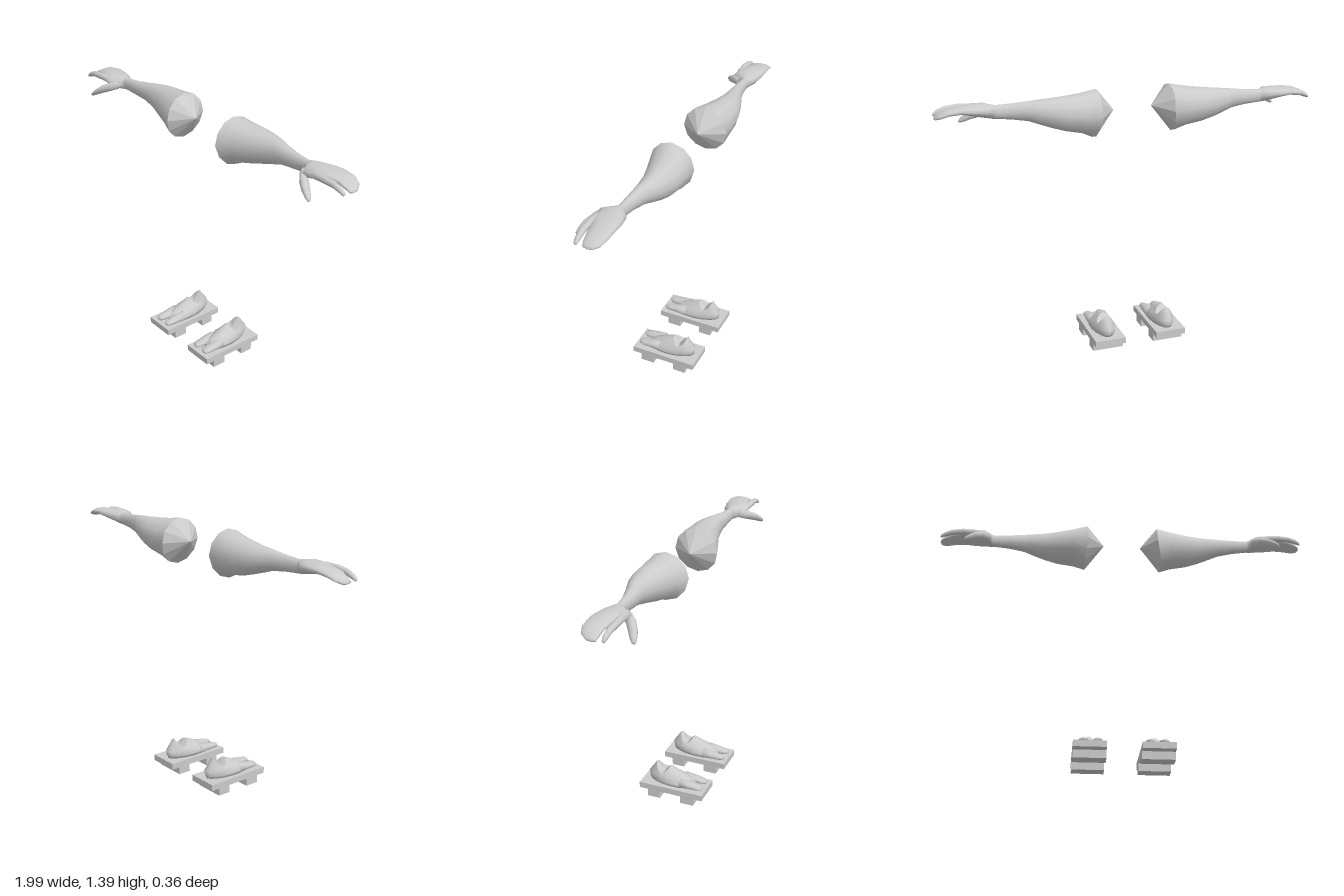
import * as THREE from 'three';

const material = new THREE.MeshStandardMaterial({ color: 0xcccccc, side: THREE.DoubleSide });
const facetMaterial = new THREE.MeshStandardMaterial({ color: 0xcccccc, side: THREE.DoubleSide, flatShading: true });

// Skin a list of equal-length rings; start and end are optional cap centres
function loft(rings, start, end) {
  const n = rings[0].length;
  const points = rings.flat();
  const index = [];
  for (let i = 0; i < rings.length - 1; i++) {
    for (let j = 0; j < n; j++) {
      const a = i * n + j, b = i * n + (j + 1) % n;
      index.push(a, b, a + n, b, b + n, a + n);
    }
  }
  const cap = (centre, base, flip) => {
    const c = points.push(centre) - 1;
    for (let j = 0; j < n; j++) {
      const a = base + j, b = base + (j + 1) % n;
      if (flip) index.push(c, b, a);
      else index.push(c, a, b);
    }
  };
  if (start) cap(start, 0, true);
  if (end) cap(end, (rings.length - 1) * n, false);
  const g = new THREE.BufferGeometry();
  g.setAttribute('position', new THREE.Float32BufferAttribute(points.flat(), 3));
  g.setIndex(index);
  return g;
}

const around = (n, f) => Array.from({ length: n }, (_, j) => f((j / n) * Math.PI * 2));

// Ellipse across the arm: x, centre y, radius y, centre z, radius z
const armRing = ([x, y, ry, z, rz], n = 12) =>
  around(n, a => [x, y + ry * Math.cos(a), z + rz * Math.sin(a)]);

// Ellipse across a toe: z, centre x, radius x, centre y, radius y
const toeRing = ([z, x, rx, y, ry]) =>
  around(10, a => [x + rx * Math.cos(a), y + ry * Math.sin(a), z]);

// Add a part, reflecting its geometry for the right side
function addPart(group, name, geometry, side, mat = material) {
  if (side < 0) {
    geometry.scale(-1, 1, 1);
    const ix = geometry.index.array;
    for (let i = 0; i < ix.length; i += 3) [ix[i], ix[i + 1]] = [ix[i + 1], ix[i]];
  }
  geometry.computeVertexNormals();
  const mesh = new THREE.Mesh(geometry, mat);
  mesh.name = name;
  group.add(mesh);
}

function buildArm(side) {
  const arm = new THREE.Group();

  // Wide upper arm narrowing to the wrist, then the mitten of joined fingers
  const rings = [
    [0.19, 1.27, 0.122, -0.035, 0.117],
    [0.27, 1.278, 0.103, -0.047, 0.103],
    [0.36, 1.286, 0.089, -0.06, 0.085],
    [0.43, 1.295, 0.075, -0.063, 0.067],
    [0.5, 1.305, 0.06, -0.056, 0.049],
    [0.54, 1.31, 0.05, -0.05, 0.04],
    [0.62, 1.313, 0.04, -0.04, 0.028],
    [0.7, 1.316, 0.034, -0.036, 0.021],
    [0.715, 1.318, 0.035, -0.034, 0.033],
    [0.75, 1.325, 0.035, -0.021, 0.068],
    [0.82, 1.335, 0.026, -0.029, 0.074],
    [0.87, 1.34, 0.018, -0.046, 0.059],
    [0.93, 1.335, 0.017, -0.048, 0.054],
    [0.97, 1.32, 0.014, -0.044, 0.044],
    [0.99, 1.309, 0.009, -0.033, 0.027],
  ].map(r => armRing(r));
  // Slanted shoulder edge, lower side further out
  rings[0].forEach(p => { p[0] += Math.max(0, 1.27 - p[1]) * 0.2; });
  addPart(arm, 'armAndHand', loft(rings, null, [0.997, 1.305, -0.03]), side);

  // Faceted pointed cap on the shoulder end
  const edge = rings[0].map(p => [...p]).reverse();
  addPart(arm, 'shoulderCap', loft([edge], null, [0.1, 1.28, -0.035]), side, facetMaterial);

  // Separate index finger
  const finger = [
    [0.8, 1.335, 0.019, 0.022, 0.022],
    [0.87, 1.338, 0.017, 0.03, 0.017],
    [0.93, 1.335, 0.015, 0.029, 0.015],
    [0.97, 1.322, 0.013, 0.028, 0.013],
    [0.988, 1.312, 0.009, 0.028, 0.009],
  ].map(r => armRing(r, 10));
  addPart(arm, 'indexFinger', loft(finger, [0.79, 1.335, 0.02], [0.994, 1.306, 0.028]), side);

  // Thumb pointing forward and down
  const thumb = [
    [0.725, 1.315, 0.022, 0.015, 0.022],
    [0.76, 1.303, 0.024, 0.045, 0.028],
    [0.8, 1.285, 0.021, 0.072, 0.026],
    [0.835, 1.265, 0.016, 0.09, 0.019],
    [0.853, 1.253, 0.01, 0.099, 0.011],
  ].map(r => armRing(r, 10));
  addPart(arm, 'thumb', loft(thumb, [0.715, 1.315, 0], [0.86, 1.249, 0.102]), side);

  // The right arm hangs slightly lower, pivoting at the shoulder
  if (side < 0) {
    const pivot = new THREE.Group();
    pivot.position.set(-0.19, 1.27, 0);
    pivot.rotation.z = 0.05;
    arm.position.set(0.19, -1.27, 0);
    pivot.add(arm);
    pivot.name = 'rightArm';
    return pivot;
  }
  arm.name = 'leftArm';
  return arm;
}

function buildFoot(side) {
  const foot = new THREE.Group();
  foot.name = side > 0 ? 'leftFoot' : 'rightFoot';
  const cx = 0.168;

  // Rings rising from the sole to a collar that peaks at instep and heel
  const outline = (y, back, front, wBack, wFront) => around(16, a => {
    const t = (1 + Math.cos(a)) / 2;
    return [cx + Math.sin(a) * (wBack + (wFront - wBack) * t), y, back + (front - back) * t];
  });
  const collar = around(16, a => {
    const c = Math.cos(a);
    return [cx + 0.042 * Math.sin(a), 0.13 + c * c * (c > 0 ? 0.036 : 0.05), -0.07 + 0.04 * c];
  });
  const rings = [
    outline(0.074, -0.147, 0.115, 0.05, 0.07),
    outline(0.09, -0.153, 0.112, 0.056, 0.069),
    outline(0.115, -0.155, 0.08, 0.056, 0.054),
    collar,
  ];
  addPart(foot, 'footBody', loft(rings, [cx, 0.074, -0.02]), side);

  // Sunken facets closing the ankle
  addPart(foot, 'ankleCap', loft([collar.map(p => [...p])], null, [cx, 0.128, -0.065]), side, facetMaterial);

  // Big toe and the joined outer toes, split by a notch
  const toes = [['bigToe', 0.13, 0.027], ['outerToes', 0.199, 0.03]];
  for (const [name, x, r] of toes) {
    const sections = [
      [0.04, x, r, 0.092, 0.03],
      [0.09, x, r, 0.091, 0.02],
      [0.135, x, r * 0.9, 0.088, 0.015],
      [0.157, x, r * 0.65, 0.086, 0.011],
    ].map(toeRing);
    addPart(foot, name, loft(sections, [x, 0.09, 0.03], [x, 0.085, 0.167]), side);
  }

  // Wooden sandal: flat board on two cross bars
  const block = (name, w, h, d, y, z) => {
    const g = new THREE.BoxGeometry(w, h, d);
    g.translate(0.17, y, z);
    addPart(foot, name, g, side);
  };
  block('sandalBoard', 0.166, 0.033, 0.36, 0.0575, 0);
  block('frontSandalBar', 0.166, 0.041, 0.075, 0.0205, 0.094);
  block('rearSandalBar', 0.166, 0.041, 0.07, 0.0205, -0.097);
  return foot;
}

export function createModel() {
  const model = new THREE.Group();
  model.name = 'armsAndSandalledFeet';
  for (const side of [1, -1]) model.add(buildArm(side), buildFoot(side));
  return model;
}
